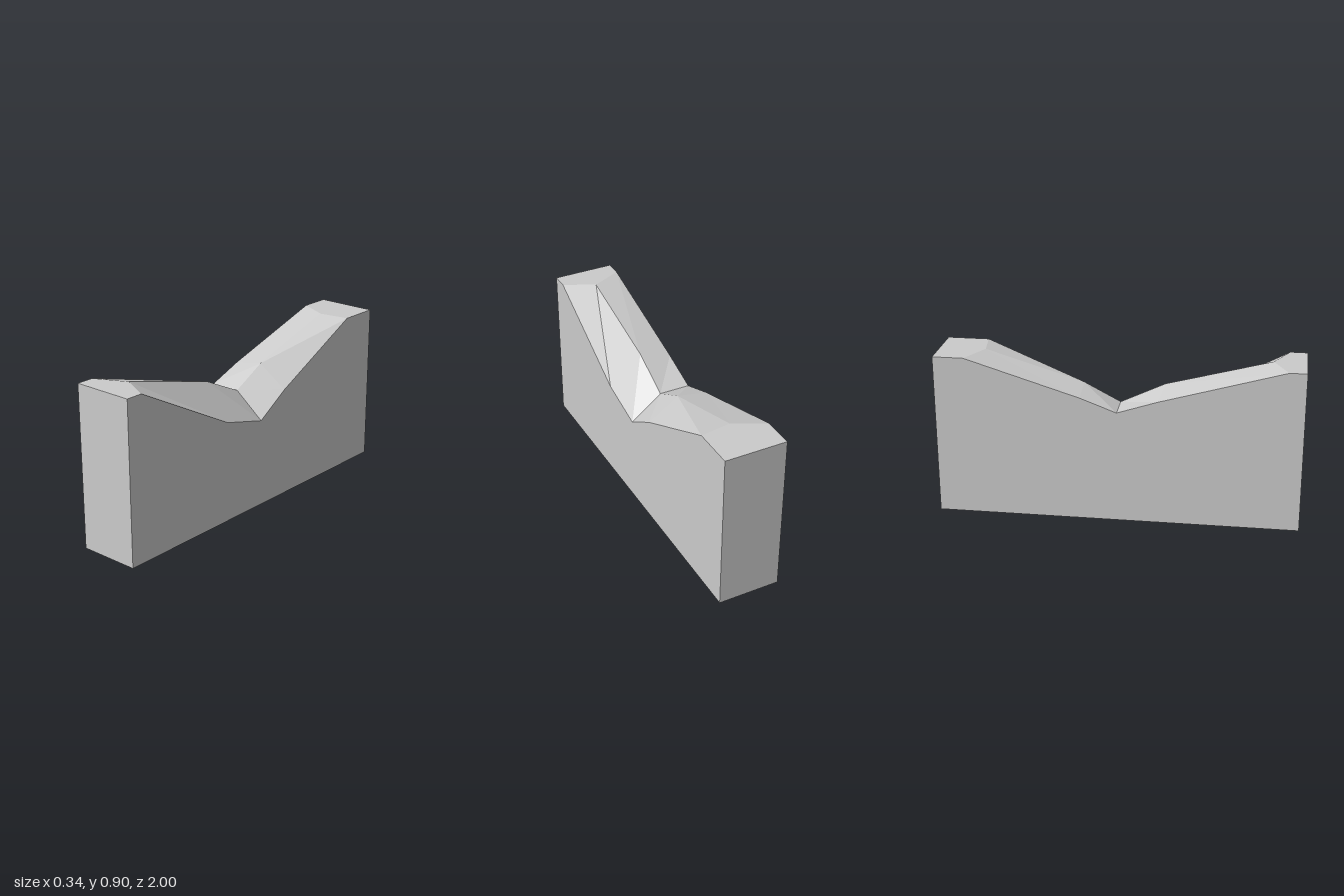
import * as THREE from 'three';

const W = 0.172; // half width
const H = 0.905; // full height

// Top outlines as [z, y], running front to back
const rightEdge = [[1, H], [0.905, H], [0.275, 0.57], [0, 0.5], [-0.2, 0.625], [-0.77, H], [-1, H]];
const middleCrease = [[1, H], [0.82, H], [0.245, 0.752], [0, 0.635], [-0.2, 0.74], [-0.745, H], [-1, H]];
const leftEdge = [[1, H], [0.905, H], [0.22, 0.708], [0, 0.635], [-0.2, 0.71], [-0.83, H], [-1, H]];

// Closed faceted solid through a row of five-point cross-sections
function notchedBlockGeometry() {
  const rings = rightEdge.map((r, i) => {
    const m = middleCrease[i], l = leftEdge[i];
    return [[W, 0, r[0]], [W, r[1], r[0]], [0, m[1], m[0]], [-W, l[1], l[0]], [-W, 0, l[0]]];
  });
  const pos = [];
  const tri = (a, b, c) => pos.push(...a, ...b, ...c);

  // Sides, creased top and underside
  for (let i = 0; i < rings.length - 1; i++) {
    for (let j = 0; j < 5; j++) {
      const k = (j + 1) % 5;
      const a = rings[i][j], b = rings[i][k], c = rings[i + 1][k], d = rings[i + 1][j];
      tri(a, d, b);
      tri(d, c, b);
    }
  }
  // Front and back ends
  const front = rings[0], back = rings[rings.length - 1];
  for (let j = 1; j < 4; j++) {
    tri(front[0], front[j], front[j + 1]);
    tri(back[0], back[j + 1], back[j]);
  }
  const geo = new THREE.BufferGeometry();
  geo.setAttribute('position', new THREE.Float32BufferAttribute(pos, 3));
  geo.computeVertexNormals();
  return geo;
}

export function createModel() {
  const group = new THREE.Group();
  const block = new THREE.Mesh(
    notchedBlockGeometry(),
    new THREE.MeshStandardMaterial({ color: 0xcccccc, flatShading: true })
  );
  block.name = 'notchedBlock';
  group.add(block);
  return group;
}
